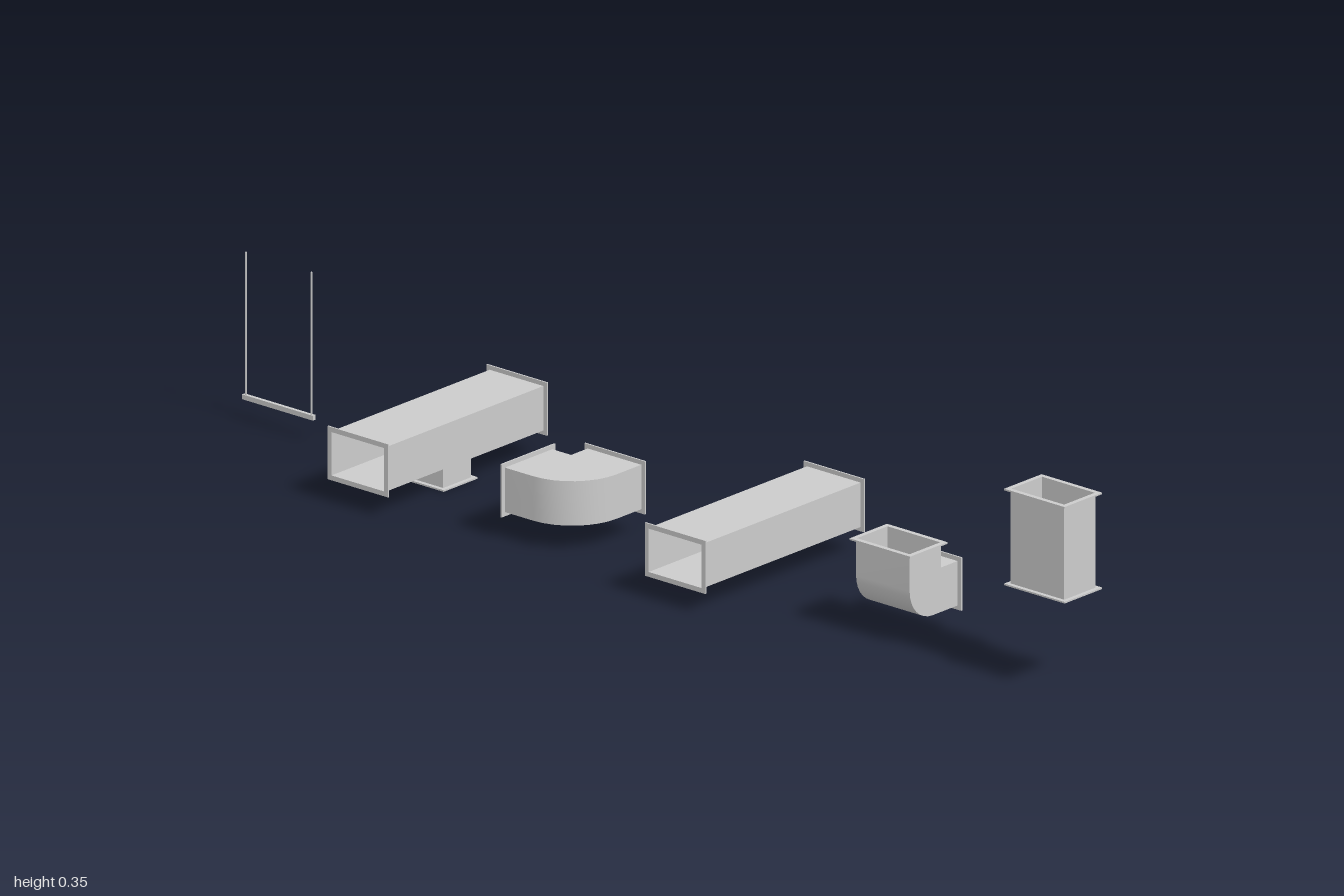
import * as THREE from 'three';

const material = new THREE.MeshStandardMaterial({ color: 0xcccccc, side: THREE.DoubleSide });
const W = 0.124, H = 0.082;          // duct section
const LIP = 0.008, PLATE = 0.003;    // flange overhang and thickness
const SHEET = 0.001;                 // sheet metal thickness

function part(name, geometry, parent, x = 0, y = 0, z = 0) {
  const mesh = new THREE.Mesh(geometry, material);
  mesh.name = name;
  mesh.position.set(x, y, z);
  parent.add(mesh);
  return mesh;
}

function group(name, parent, x, y, z) {
  const g = new THREE.Group();
  g.name = name;
  g.position.set(x, y, z);
  parent.add(g);
  return g;
}

function rectangle(target, w, h) {
  target.moveTo(-w / 2, -h / 2).lineTo(w / 2, -h / 2).lineTo(w / 2, h / 2).lineTo(-w / 2, h / 2).closePath();
  return target;
}

// Rectangular frame around an opening, centred, running along z
function frame(w, h, border, depth) {
  const shape = rectangle(new THREE.Shape(), w + border * 2, h + border * 2);
  shape.holes.push(rectangle(new THREE.Path(), w, h));
  return new THREE.ExtrudeGeometry(shape, { depth, bevelEnabled: false }).translate(0, 0, -depth / 2);
}

const sleeve = (w, h, length) => frame(w - SHEET * 2, h - SHEET * 2, SHEET, length);
const flange = (w, h) => frame(w - SHEET * 2, h - SHEET * 2, LIP + SHEET, PLATE);

// Straight run along z with a flange on each end
function straightDuct(name, parent, length, x, y, z) {
  const g = group(name, parent, x, y, z);
  part('ductBody', sleeve(W, H, length), g);
  for (const s of [-1, 1]) part('endFlange', flange(W, H), g, 0, 0, s * (length - PLATE) / 2);
  return g;
}

// Sheet wall following a path in the xy plane
function wall(points, width) {
  const geo = new THREE.PlaneGeometry(1, 1, points.length - 1, 1);
  const pos = geo.attributes.position;
  for (let i = 0; i < pos.count; i++) {
    const p = points[i % points.length];
    pos.setXYZ(i, p.x, p.y, i < points.length ? -width / 2 : width / 2);
  }
  geo.computeVertexNormals();
  return geo;
}

// Right-angle bend: inner corner at the origin, openings toward -x and +y
function elbow(name, parent, size, width, x, y, z) {
  const g = group(name, parent, x, y, z);
  const leg = 0.045, r = size - 0.022;
  const outer = [new THREE.Vector2(-leg, -size)];
  for (let i = 0; i <= 8; i++) {
    const a = -Math.PI / 2 + (i / 8) * Math.PI / 2;
    outer.push(new THREE.Vector2(size - r + r * Math.cos(a), r - size + r * Math.sin(a)));
  }
  outer.push(new THREE.Vector2(size, leg));
  const inner = [[0, leg], [0, 0], [-leg, 0]].map(p => new THREE.Vector2(...p));

  part('outerWall', wall(outer, width), g);
  part('innerWall', wall(inner, width).toNonIndexed(), g).geometry.computeVertexNormals();
  const cheek = new THREE.ShapeGeometry(new THREE.Shape([...outer, ...inner]));
  part('sideCheek', cheek, g, 0, 0, width / 2);
  part('sideCheek', cheek.clone().rotateX(Math.PI).scale(1, -1, -1), g, 0, 0, -width / 2);
  part('sideFlange', flange(width, size).rotateY(Math.PI / 2), g, -leg, -size / 2, 0);
  part('endFlange', flange(size, width).rotateX(Math.PI / 2), g, size / 2, leg, 0);
  return g;
}

export function createModel() {
  const model = new THREE.Group();
  model.name = 'ductKit';
  const axisY = 0.088;

  // Trapeze hanger: bar on two threaded rods
  const hanger = group('hanger', model, -0.918, 0, 0);
  part('hangerBar', new THREE.BoxGeometry(0.164, 0.009, 0.007), hanger, 0, 0.0425, 0);
  for (const s of [-1, 1]) {
    part('hangerRod', new THREE.CylinderGeometry(0.0016, 0.0016, 0.272, 10), hanger, s * 0.076, 0.174, 0);
  }

  // Straight duct with a tap underneath
  const tee = straightDuct('tapDuct', model, 0.418, -0.55, axisY, 0);
  part('tapBody', sleeve(0.09, 0.073, 0.047).rotateX(Math.PI / 2), tee, 0, 0.0235 - axisY, 0);
  part('tapFlange', flange(0.09, 0.073).rotateX(Math.PI / 2), tee, 0, 0.0017 - axisY, 0);

  // Flat elbow
  elbow('flatElbow', model, W, H, -0.222, axisY, 0.022).rotation.x = -Math.PI / 2;

  // Plain straight duct
  straightDuct('straightDuct', model, 0.418, 0.184, axisY, 0);

  // Rising elbow
  elbow('risingElbow', model, H, W, 0.572, 0.129, 0.022).rotation.y = -Math.PI / 2;

  // Vertical riser
  straightDuct('riserDuct', model, 0.178, 0.93, 0.265, 0.0635).rotation.x = Math.PI / 2;

  return model;
}
